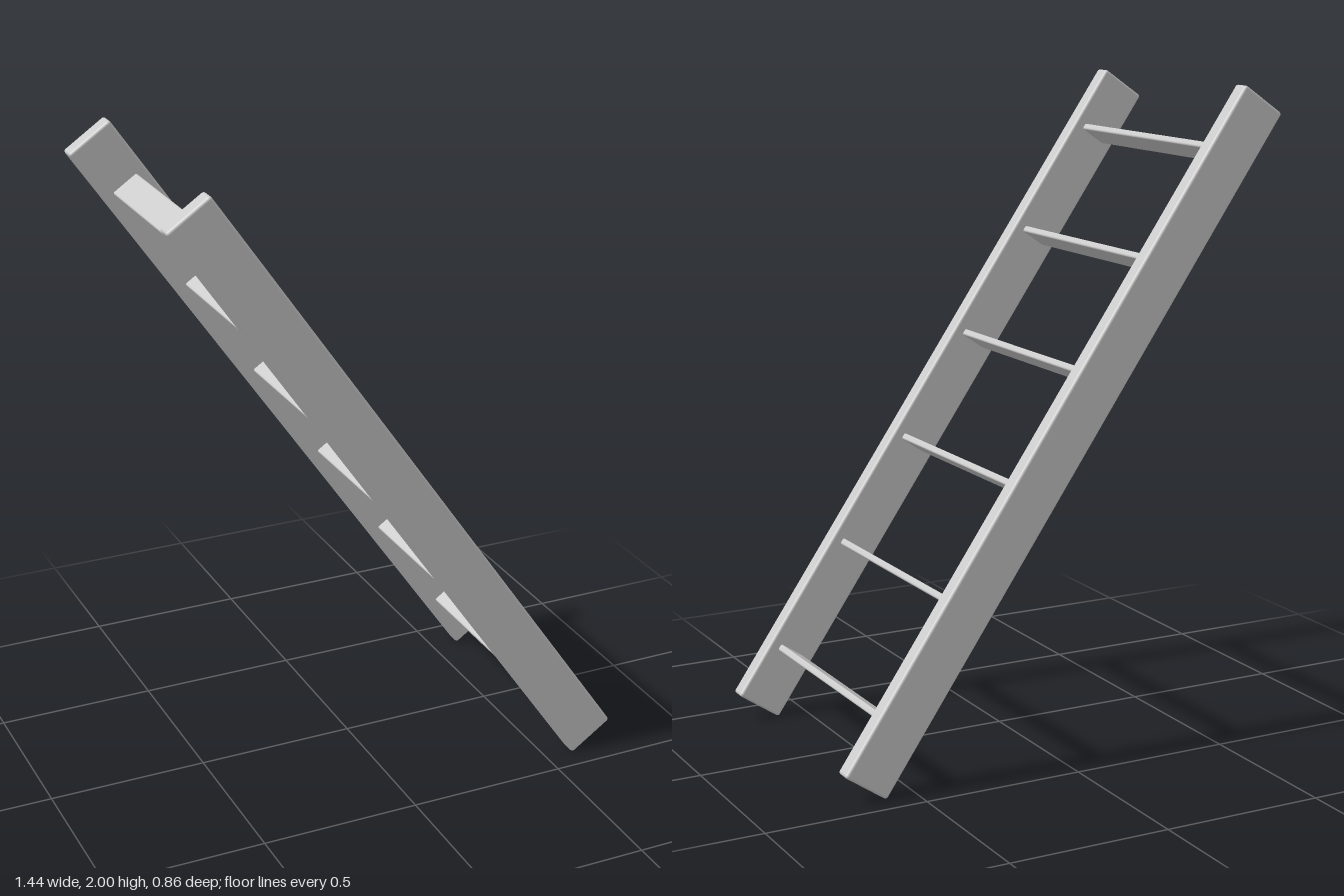
import * as THREE from 'three';
import { RoundedBoxGeometry } from 'three/addons/geometries/RoundedBoxGeometry.js';

const RAIL = { width: 0.158, length: 2.324, thickness: 0.056, z: 0.402 };
const RUNG = { width: 0.092, thickness: 0.021, count: 6, spacing: 0.387 };
const LEAN = THREE.MathUtils.degToRad(34.5);

export function createModel() {
  const model = new THREE.Group();
  model.name = 'leaningLadder';
  const material = new THREE.MeshStandardMaterial({ color: 0xcccccc });

  // Built upright around its own centre, then leaned over towards -x
  const ladder = new THREE.Group();
  ladder.name = 'ladder';
  ladder.position.y = 1;
  ladder.rotation.z = LEAN;
  model.add(ladder);

  const add = (name, geometry, y, z) => {
    const mesh = new THREE.Mesh(geometry, material);
    mesh.name = name;
    mesh.position.set(0, y, z);
    ladder.add(mesh);
  };

  // Two side rails with softened edges
  const railGeometry = new RoundedBoxGeometry(RAIL.width, RAIL.length, RAIL.thickness, 3, 0.009);
  add('frontRail', railGeometry, 0, RAIL.z);
  add('backRail', railGeometry, 0, -RAIL.z);

  // Flat rungs, square to the rails and let slightly into them
  const rungLength = 2 * RAIL.z - RAIL.thickness + 0.04;
  const rungGeometry = new RoundedBoxGeometry(RUNG.width, RUNG.thickness, rungLength, 3, 0.006);
  for (let i = 0; i < RUNG.count; i++) {
    add(`rung${i + 1}`, rungGeometry, (i - (RUNG.count - 1) / 2) * RUNG.spacing, 0);
  }

  return model;
}
